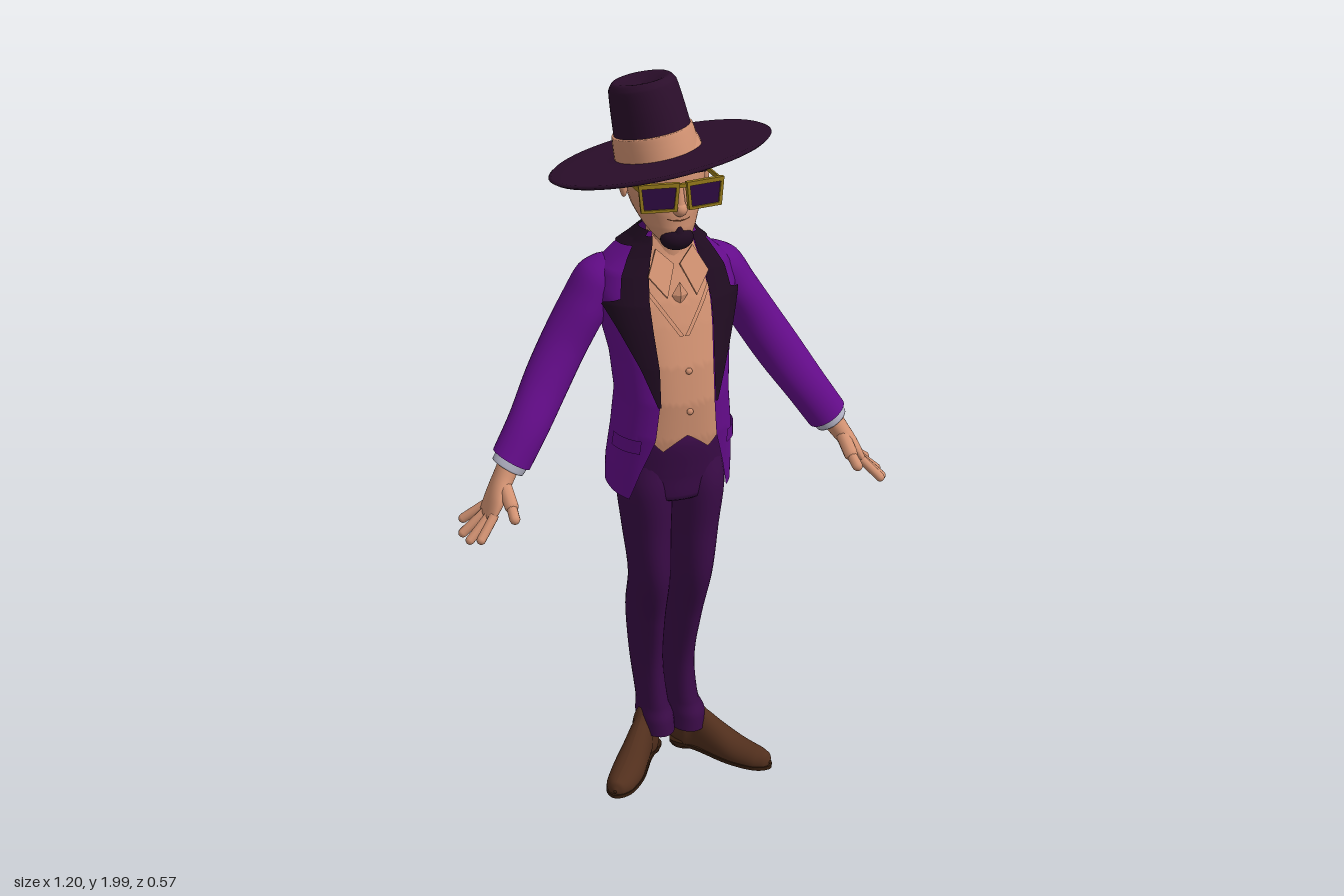
import * as THREE from 'three';
import { ParametricGeometry } from 'three/addons/geometries/ParametricGeometry.js';

const mat = (name, color) => new THREE.MeshStandardMaterial({ name, color, side: THREE.DoubleSide });
const V = (x, y, z) => new THREE.Vector3(x, y, z);
const lerp = THREE.MathUtils.lerp;
const X = V(1, 0, 0), Z = V(0, 0, 1);

// Smooth skin over elliptical sections [x, y, z, radiusA, radiusB], listed bottom to top
function loft(rows, A = X, B = Z, nu = 28, nv = rows.length * 4) {
  const centre = new THREE.CatmullRomCurve3(rows.map(r => V(r[0], r[1], r[2])));
  const radius = new THREE.CatmullRomCurve3(rows.map(r => V(r[3], r[4], 0)));
  return new ParametricGeometry((u, v, p) => {
    const r = radius.getPoint(v), t = u * Math.PI * 2;
    p.copy(centre.getPoint(v)).addScaledVector(A, r.x * Math.sin(t)).addScaledVector(B, r.y * Math.cos(t));
  }, nu, nv);
}

// Mirrored copy across x = 0 with corner order restored
function mirror(geo) {
  const g = geo.clone().scale(-1, 1, 1), ix = g.index.array;
  for (let i = 0; i < ix.length; i += 3) [ix[i], ix[i + 1]] = [ix[i + 1], ix[i]];
  return g;
}

// Torso sections: y, half width, front z, back z, front opening, lapel outer x
const TORSO = [
  [0.86, 0.168, 0.10, -0.155, 0.138, 0.138], [0.95, 0.167, 0.115, -0.153, 0.115, 0.115],
  [1.05, 0.158, 0.135, -0.136, 0.084, 0.084], [1.15, 0.148, 0.142, -0.133, 0.075, 0.078],
  [1.25, 0.155, 0.13, -0.155, 0.075, 0.112], [1.35, 0.176, 0.10, -0.177, 0.082, 0.155],
  [1.41, 0.19, 0.078, -0.187, 0.084, 0.183], [1.425, 0.19, 0.07, -0.187, 0.083, 0.145],
  [1.48, 0.178, 0.045, -0.178, 0.076, 0.135], [1.52, 0.135, 0.03, -0.163, 0.066, 0.112],
  [1.56, 0.088, 0.022, -0.122, 0.055, 0.085], [1.59, 0.065, 0.015, -0.085, 0.05, 0.064],
];
const K = 0.85;
function section(y) {
  let i = 0;
  while (i < TORSO.length - 2 && y > TORSO[i + 1][0]) i++;
  const a = TORSO[i], b = TORSO[i + 1], t = THREE.MathUtils.clamp((y - a[0]) / (b[0] - a[0]), 0, 1);
  return a.map((v, k) => lerp(v, b[k], t));
}
const angleAt = (x, rx) => Math.asin(Math.min(1, Math.pow(x / rx, 1 / K)));
function onTorso(p, y, angle, off) {
  const [, rx, zf, zb] = section(y), s = Math.sin(angle), c = Math.cos(angle);
  p.set((rx + off) * Math.sign(s) * Math.abs(s) ** K, y,
    (zf + zb) / 2 + ((zf - zb) / 2 + off) * Math.sign(c) * Math.abs(c) ** K);
}

export function createModel() {
  const purple = mat('jacket purple', 0x640c8a), plum = mat('trouser plum', 0x3a0b47),
    hatDark = mat('hat dark plum', 0x2b0e2b), black = mat('lapel black', 0x1f0b20),
    skin = mat('skin tan', 0xd29272), brown = mat('shoe brown', 0x512f1d),
    sole = mat('sole dark brown', 0x341d0e), gold = mat('frame gold', 0x94781a),
    lens = mat('lens violet', 0x2c0a40), grey = mat('cuff grey', 0xb4b4c6);
  const model = new THREE.Group();
  const add = (name, geo, m, parent = model) => {
    const mesh = new THREE.Mesh(geo, m);
    mesh.name = name;
    parent.add(mesh);
    return mesh;
  };
  const pair = (name, geo, m) => { add(name + 'Left', geo, m); add(name + 'Right', mirror(geo), m); };
  const ball = (name, m, x, y, z, a, b, c, parent) =>
    add(name, new THREE.SphereGeometry(1, 20, 14).scale(a, b, c).translate(x, y, z), m, parent);

  // Jacket, with open front, rounded tails and a back vent
  add('jacket', new ParametricGeometry((u, v, p) => {
    const hem = 0.865 + 0.03 * Math.sin(Math.PI * u) + 0.05 * Math.max(0, 1 - Math.abs(u - 0.5) / 0.03);
    const y = lerp(hem, 1.585, v), s = section(y), a = angleAt(s[4], s[1]);
    onTorso(p, y, lerp(a, 2 * Math.PI - a, u), 0);
  }, 96, 44), purple);

  // Lapels, collar and pocket flaps follow the jacket surface
  pair('lapel', new ParametricGeometry((u, v, p) => {
    const y = lerp(1.15, 1.575, v), s = section(y);
    onTorso(p, y, lerp(angleAt(s[4] - 0.004, s[1]), angleAt(s[5], s[1]), u), 0.008);
  }, 10, 60), black);
  add('collar', new ParametricGeometry((u, v, p) => {
    const a = lerp(0.9, 2 * Math.PI - 0.9, u);
    onTorso(p, lerp(1.55 - 0.02 * Math.sin(Math.PI * u), 1.59, v), a, 0.008);
  }, 40, 6), black);
  pair('pocketFlap', new ParametricGeometry((u, v, p) =>
    onTorso(p, lerp(1.01, 1.05, v), lerp(0.75, 1.5, u), 0.006), 10, 3), purple);

  // Waistcoat and shirt front with a pointed hem
  add('waistcoat', new ParametricGeometry((u, v, p) => {
    const w = Math.abs(u - 0.5) * 2, hem = 1.06 - 0.045 * Math.max(0, 1 - Math.abs(w - 0.3) / 0.3);
    onTorso(p, lerp(hem, 1.585, v), lerp(-1.15, 1.15, u), -0.005);
  }, 40, 40), skin);
  pair('waistcoatEdge', new ParametricGeometry((u, v, p) => {
    const y = lerp(1.33, 1.45, v), s = section(y);
    onTorso(p, y, angleAt(0.001 + v * 0.08 + u * 0.012, s[1]), 0.002);
  }, 3, 12), skin);
  [1.13, 1.24].forEach(y => ball('button', skin, 0.004, y, section(y)[2] - 0.002, 0.009, 0.009, 0.006));
  const wing = new THREE.Shape([[0.05, 0.06], [0.008, 0.015], [0.04, -0.07], [0.082, -0.01]].map(q => new THREE.Vector2(...q)));
  const wingGeo = new THREE.ExtrudeGeometry(wing, { depth: 0.008, bevelEnabled: false });
  wingGeo.rotateX(-0.5).translate(0, 1.49, 0.05);
  add('shirtCollarLeft', wingGeo, skin);
  const wingRight = wing.getPoints().map(q => new THREE.Vector2(-q.x, q.y));
  add('shirtCollarRight', new THREE.ExtrudeGeometry(new THREE.Shape(wingRight), { depth: 0.008, bevelEnabled: false })
    .rotateX(-0.5).translate(0, 1.49, 0.05), skin);
  add('pendant', new THREE.OctahedronGeometry(1).scale(0.022, 0.035, 0.01).translate(0, 1.43, 0.07), skin);

  // Sleeves, cuffs and hands, built along the arm
  const A = V(0.83, 0.55, 0);
  pair('sleeve', loft([[0.443, 1.01, 0.012, 0.056, 0.05], [0.39, 1.09, -0.01, 0.058, 0.054], [0.325, 1.19, -0.05, 0.063, 0.06],
    [0.265, 1.285, -0.075, 0.063, 0.067], [0.205, 1.38, -0.086, 0.062, 0.08], [0.165, 1.44, -0.088, 0.063, 0.079],
    [0.12, 1.475, -0.088, 0.05, 0.066], [0.09, 1.49, -0.088, 0.006, 0.006]], A), purple);
  pair('cuff', loft([[0.456, 0.99, 0.016, 0.006, 0.006], [0.455, 0.992, 0.016, 0.046, 0.042],
    [0.435, 1.02, 0.012, 0.048, 0.044]], A), grey);
  pair('palm', loft([[0.532, 0.872, 0.052, 0.003, 0.02], [0.525, 0.882, 0.052, 0.013, 0.05], [0.5, 0.925, 0.046, 0.021, 0.052],
    [0.468, 0.975, 0.027, 0.027, 0.038], [0.44, 1.02, 0.014, 0.03, 0.033]], A), skin);
  const bone = (name, a, b, r) => {
    const d = b.clone().sub(a), g = new THREE.CapsuleGeometry(r, d.length(), 5, 10);
    g.applyQuaternion(new THREE.Quaternion().setFromUnitVectors(V(0, 1, 0), d.normalize()));
    pair(name, g.translate((a.x + b.x) / 2, (a.y + b.y) / 2, (a.z + b.z) / 2), skin);
  };
  [[0.01, 0.572, 0.85, -0.012], [0.038, 0.586, 0.832, 0.035], [0.067, 0.58, 0.832, 0.083], [0.092, 0.56, 0.845, 0.118]]
    .forEach(([z, x, y, tz]) => bone('finger', V(0.518, 0.892, z), V(x, y, tz), 0.0125));
  bone('thumbBase', V(0.475, 0.955, 0.055), V(0.475, 0.925, 0.11), 0.019);
  bone('thumbTip', V(0.475, 0.925, 0.11), V(0.478, 0.905, 0.15), 0.014);

  // Trousers: hips, then legs with bent knees and bunched hems
  add('hips', loft([[0, 0.83, -0.005, 0.03, 0.03], [0, 0.86, -0.005, 0.125, 0.1], [0, 0.93, -0.005, 0.145, 0.108],
    [0, 1.02, 0.0, 0.14, 0.115], [0, 1.09, 0.0, 0.12, 0.1]]), plum);
  const legZ = [[0.09, -0.06, 0.074], [0.13, -0.068, 0.078], [0.17, -0.075, 0.072], [0.3, -0.097, 0.086], [0.45, -0.076, 0.1],
    [0.6, -0.016, 0.089], [0.75, -0.01, 0.095], [0.88, -0.006, 0.104], [0.97, -0.005, 0.09]];
  const legX = {
    legLeft: [[0.068, 0.052], [0.068, 0.052], [0.06, 0.043], [0.054, 0.042], [0.06, 0.047], [0.065, 0.053], [0.07, 0.064], [0.073, 0.074], [0.065, 0.07]],
    legRight: [[-0.022, 0.05], [-0.024, 0.05], [-0.028, 0.042], [-0.038, 0.041], [-0.047, 0.047], [-0.056, 0.053], [-0.066, 0.064], [-0.072, 0.073], [-0.065, 0.07]],
  };
  for (const [name, xs] of Object.entries(legX))
    add(name, loft(legZ.map(([y, z, rz], i) => [xs[i][0], y, z, xs[i][1], rz])), plum);

  // Shoes, splayed outwards, with soles and heels
  const outline = new THREE.Shape();
  outline.setFromPoints(new THREE.SplineCurve([[0, -0.012], [0.034, 0.01], [0.032, 0.09], [0.046, 0.2], [0.036, 0.285], [0, 0.318],
    [-0.036, 0.285], [-0.046, 0.2], [-0.032, 0.09], [-0.034, 0.01], [0, -0.012]].map(q => new THREE.Vector2(q[0], -q[1]))).getPoints(50));
  const upper = loft([[0, 0.05, -0.012, 0.005, 0.01], [0, 0.06, -0.006, 0.028, 0.045], [0, 0.068, 0.04, 0.036, 0.068],
    [0, 0.065, 0.09, 0.036, 0.068], [0, 0.045, 0.15, 0.041, 0.058], [0, 0.03, 0.21, 0.045, 0.045],
    [0, 0.026, 0.275, 0.038, 0.034], [0, 0.028, 0.305, 0.022, 0.024], [0, 0.028, 0.314, 0.004, 0.004]], V(-1, 0, 0), V(0, 1, 0));
  const pos = upper.attributes.position;
  for (let i = 0; i < pos.count; i++) pos.setY(i, Math.max(pos.getY(i), 0.014));
  upper.computeVertexNormals();
  [['shoeLeft', 0.05, 0.66], ['shoeRight', -0.02, -0.66]].forEach(([name, x, turn]) => {
    const shoe = new THREE.Group();
    shoe.name = name;
    shoe.position.set(x, 0, -0.105);
    shoe.rotation.y = turn;
    add('upper', upper, brown, shoe);
    add('sole', new THREE.ExtrudeGeometry(outline, { depth: 0.01, bevelEnabled: false }).rotateX(-Math.PI / 2).translate(0, 0.009, 0), sole, shoe);
    add('heel', new THREE.CylinderGeometry(0.034, 0.032, 0.014, 20).scale(1, 1, 1.2).translate(0, 0.007, 0.03), sole, shoe);
    model.add(shoe);
  });

  // Neck and head
  add('neck', loft([[0, 1.44, -0.04, 0.07, 0.06], [0, 1.52, -0.03, 0.056, 0.055], [-0.008, 1.6, -0.022, 0.05, 0.05],
    [-0.015, 1.68, -0.02, 0.055, 0.06]]), skin);
  const head = new THREE.Group();
  head.name = 'head';
  head.position.x = -0.016;
  model.add(head);
  add('skull', loft([[0, 1.574, 0.08, 0.008, 0.008], [0, 1.585, 0.073, 0.038, 0.036], [0, 1.62, 0.033, 0.066, 0.08],
    [0, 1.66, 0.005, 0.085, 0.108], [0, 1.7, -0.003, 0.097, 0.116], [0, 1.75, -0.005, 0.103, 0.117],
    [0, 1.8, -0.007, 0.1, 0.111], [0, 1.84, -0.012, 0.085, 0.09], [0, 1.865, -0.015, 0.004, 0.004]]), skin, head);
  ball('nose', skin, 0, 1.678, 0.114, 0.019, 0.02, 0.022, head);
  add('noseBridge', new THREE.CylinderGeometry(0.009, 0.015, 0.07, 12).rotateX(-0.15).translate(0, 1.71, 0.113), skin, head);
  ball('goatee', black, 0, 1.594, 0.092, 0.044, 0.031, 0.034, head);
  add('soulPatch', new THREE.ConeGeometry(0.015, 0.03, 10).translate(0, 1.627, 0.107), black, head);
  add('mouth', new THREE.TubeGeometry(new THREE.QuadraticBezierCurve3(V(-0.042, 1.656, 0.094), V(0, 1.636, 0.127), V(0.042, 1.656, 0.094)),
    12, 0.003, 6), brown, head);

  // Glasses: two square rims, lenses, bridge and temples
  const rim = new THREE.Shape([[-0.053, 0.038], [-0.046, -0.036], [0.046, -0.036], [0.053, 0.038]].map(q => new THREE.Vector2(...q)));
  rim.holes.push(new THREE.Path([[-0.044, 0.027], [0.044, 0.027], [0.038, -0.029], [-0.038, -0.029]].map(q => new THREE.Vector2(...q))));
  for (const s of [-1, 1]) {
    const side = new THREE.Group();
    side.name = s > 0 ? 'glassesLeft' : 'glassesRight';
    side.position.set(s * 0.06, 1.717, 0.122);
    side.rotation.y = s * 0.14;
    head.add(side);
    add('rim', new THREE.ExtrudeGeometry(rim, { depth: 0.012, bevelEnabled: false }), gold, side);
    add('lens', new THREE.BoxGeometry(0.09, 0.06, 0.005).translate(0, -0.001, 0.005), lens, side);
    add('temple', new THREE.BoxGeometry(0.005, 0.012, 0.135).translate(s * 0.11, 1.742, 0.054), gold, head);
    const ear = ball('ear', skin, 0, 0, 0, 0.012, 0.04, 0.025, head);
    ear.position.set(s * 0.106, 1.722, -0.015);
    ear.rotation.set(-0.15, s * 0.35, 0);
    const brow = add('brow', new THREE.BoxGeometry(0.06, 0.01, 0.008), black, head);
    brow.position.set(s * 0.05, 1.77, 0.102);
    brow.rotation.set(0, s * 0.4, -s * 0.1);
  }
  add('glassesBridge', new THREE.BoxGeometry(0.024, 0.01, 0.01).translate(0, 1.745, 0.13), gold, head);

  // Tilted wide hat: brim, band and dented crown
  const hat = new THREE.Group();
  hat.name = 'hat';
  hat.position.set(-0.029, 1.787, 0.002);
  hat.rotation.set(-0.155, 0, 0.165);
  model.add(hat);
  add('brim', new THREE.LatheGeometry([[0.08, -0.006], [0.2, -0.008], [0.28, -0.003], [0.288, 0.003], [0.28, 0.008], [0.2, 0.005], [0.08, 0.008]]
    .map(q => new THREE.Vector2(...q)), 56), hatDark, hat);
  add('crown', loft([[0, 0, -0.02, 0.103, 0.122], [0, 0.06, -0.02, 0.098, 0.117], [0, 0.13, -0.02, 0.092, 0.112],
    [0, 0.18, -0.02, 0.086, 0.105], [0, 0.198, -0.02, 0.07, 0.088], [0, 0.19, -0.02, 0.035, 0.05], [0, 0.182, -0.02, 0.002, 0.003]]), hatDark, hat);
  add('hatBand', loft([[0, 0.004, -0.02, 0.108, 0.128], [0, 0.035, -0.02, 0.106, 0.125], [0, 0.066, -0.02, 0.102, 0.121],
    [0, 0.067, -0.02, 0.096, 0.115]], X, Z, 40), skin, hat);
  return model;
}
